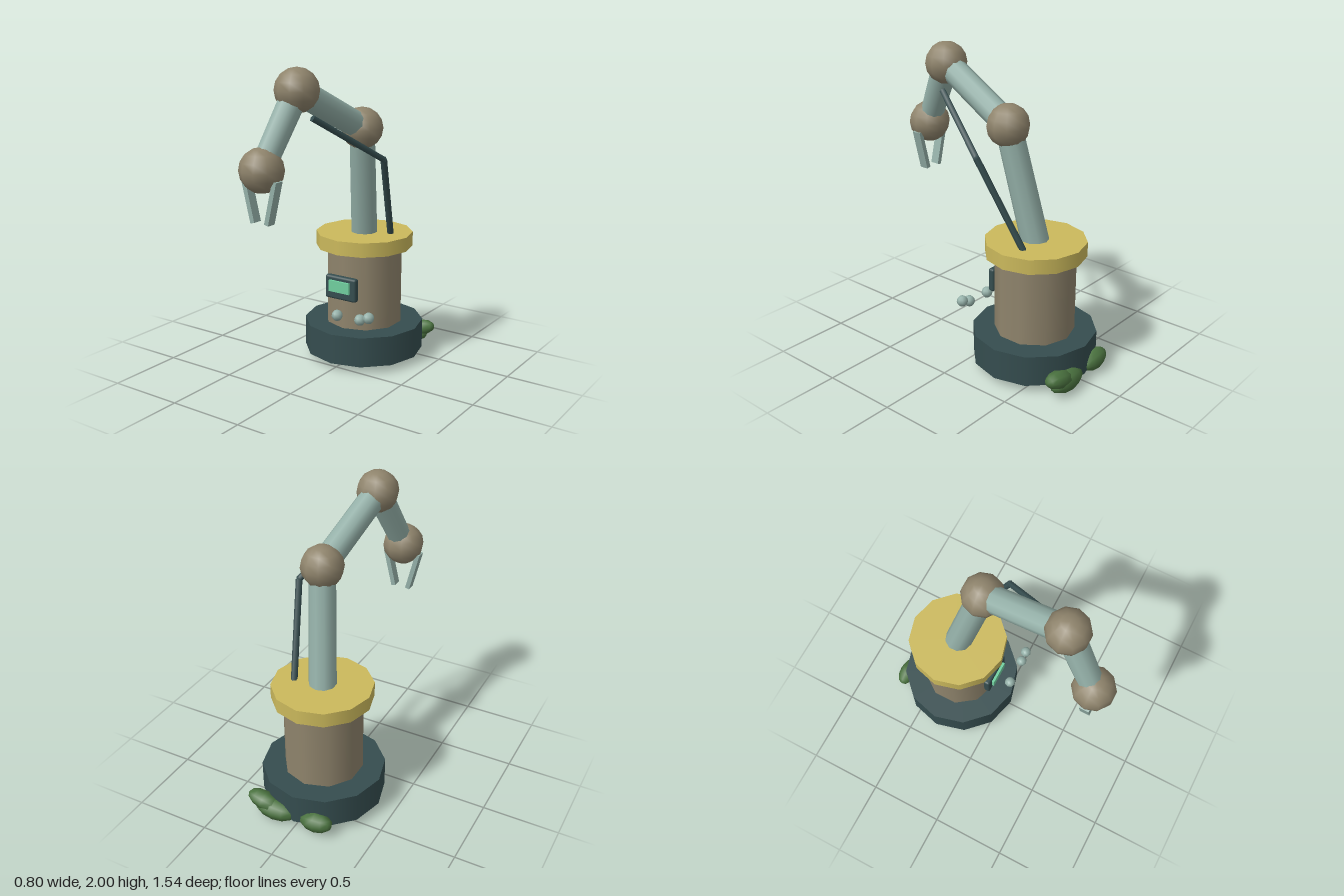
import * as THREE from 'three';
import { RoundedBoxGeometry } from 'three/addons/geometries/RoundedBoxGeometry.js';

const mat = (name, color) => {
  const m = new THREE.MeshStandardMaterial({ color });
  m.name = name;
  return m;
};

export function createModel() {
  const teal = mat('darkTeal', 0x354d4f);
  const tan = mat('tan', 0x8f846c);
  const yellow = mat('yellow', 0xcbb95c);
  const steel = mat('paleSteel', 0x94b0a8);
  const green = mat('mossGreen', 0x4b7340);
  const glow = mat('screenGreen', 0x70cf9f);

  const robot = new THREE.Group();
  robot.name = 'robotArm';
  const add = (name, geometry, material, x, y, z) => {
    const mesh = new THREE.Mesh(geometry, material);
    mesh.name = name;
    mesh.position.set(x, y, z);
    robot.add(mesh);
    return mesh;
  };
  // Cylinder running from point a to point b
  const rod = (name, a, b, ra, rb, sides, material) => {
    const dir = b.clone().sub(a);
    const mid = a.clone().add(b).multiplyScalar(0.5);
    const mesh = add(name, new THREE.CylinderGeometry(rb, ra, dir.length(), sides), material, mid.x, mid.y, mid.z);
    mesh.quaternion.setFromUnitVectors(new THREE.Vector3(0, 1, 0), dir.normalize());
    return mesh;
  };
  const v = (x, y, z) => new THREE.Vector3(x, y, z);

  // Pedestal: base, column and turntable
  const bz = -0.333;
  add('base', new THREE.CylinderGeometry(0.4, 0.4, 0.2, 12), teal, 0, 0.152, bz);
  add('column', new THREE.CylinderGeometry(0.257, 0.257, 0.53, 10), tan, 0, 0.51, bz);
  add('turntable', new THREE.CylinderGeometry(0.323, 0.323, 0.095, 12), yellow, 0, 0.818, bz);

  // Control panel with screen
  add('panel', new RoundedBoxGeometry(0.238, 0.158, 0.045, 2, 0.015), teal, 0, 0.536, -0.064);
  add('screen', new THREE.BoxGeometry(0.158, 0.075, 0.02), glow, 0, 0.549, -0.035);

  // Loose round buttons in front of the column
  for (const [x, y] of [[0.035, 0.385], [0.21, 0.39], [0.276, 0.415]]) {
    add('button', new THREE.SphereGeometry(0.037, 8, 6), steel, x, y, 0.04);
  }

  // Arm segments and ball joints
  const joints = [v(0, 0.83, -0.333), v(0.08, 1.583, -0.172), v(0, 1.866, 0.4), v(-0.08, 1.424, 0.638)];
  const radii = [0.089, 0.083, 0.083, 0.075];
  const names = ['lowerArm', 'upperArm', 'foreArm'];
  names.forEach((name, i) => rod(name, joints[i], joints[i + 1], radii[i], radii[i + 1], 10, steel));
  for (const p of joints.slice(1)) {
    add('ballJoint', new THREE.SphereGeometry(0.135, 10, 8), tan, p.x, p.y, p.z);
  }

  // Gripper fingers, leaning towards each other
  for (const s of [-1, 1]) {
    const finger = add('gripperFinger', new THREE.BoxGeometry(0.03, 0.27, 0.062), steel, -0.08 + s * 0.083, 1.242, 0.64);
    finger.rotation.z = -s * 0.24;
  }

  // Cable with one bend
  const cable = [v(0.175, 0.84, -0.385), v(0.287, 1.413, -0.1), v(0.08, 1.705, 0.36)];
  for (let i = 0; i < 2; i++) rod('cable', cable[i], cable[i + 1], 0.021, 0.021, 6, teal);
  add('cableBend', new THREE.SphereGeometry(0.021, 6, 5), teal, 0.287, 1.413, -0.1);

  // Moss clumps behind the base: centre, half sizes, tilt
  const clumps = [
    [-0.145, 0.085, -0.702, 0.112, 0.068, 0.065, -0.1],
    [0.15, 0.072, -0.705, 0.142, 0.07, 0.07, 0],
    [0.23, 0.113, -0.705, 0.118, 0.056, 0.065, 0.22],
  ];
  for (const [x, y, z, a, b, c, tilt] of clumps) {
    const g = new THREE.SphereGeometry(1, 8, 6).rotateZ(Math.PI / 2).scale(a, b, c);
    add('mossClump', g, green, x, y, z).rotation.z = tilt;
  }
  return robot;
}
